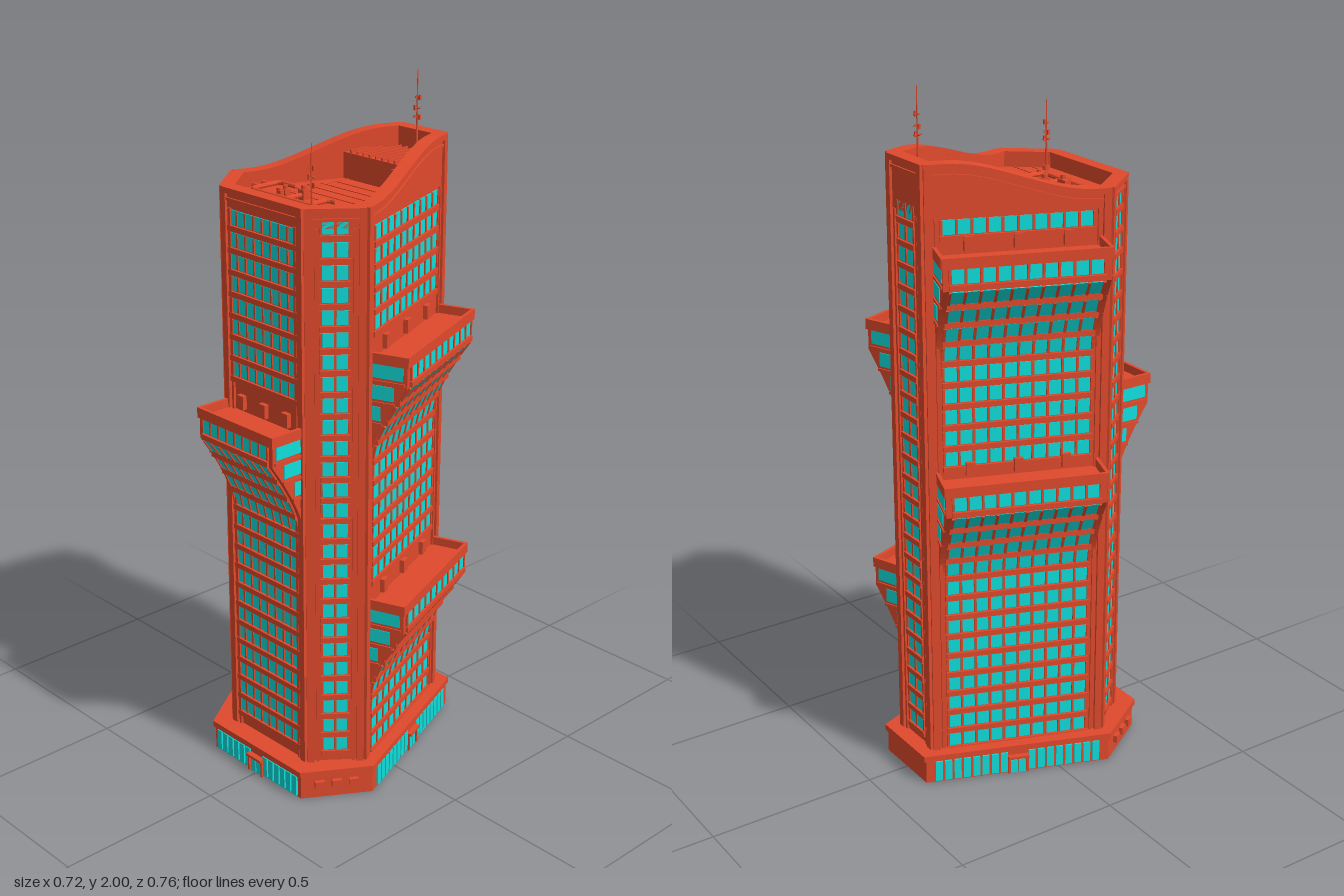
import * as THREE from 'three';
import { mergeGeometries } from 'three/addons/utils/BufferGeometryUtils.js';

const red = new THREE.MeshStandardMaterial({ color: 0xe04a2c, flatShading: true });
const cyan = new THREE.MeshStandardMaterial({ color: 0x10dedc, flatShading: true });

// Plans run front, left chamfer, left side, back, right side, right chamfer
const TOWER = [[-0.16, 0.265], [0.16, 0.265], [0.262, 0.14], [0.085, -0.33], [-0.085, -0.33], [-0.262, 0.14]];
const PODIUM = [[-0.195, 0.325], [0.195, 0.325], [0.31, 0.145], [0.11, -0.378], [-0.11, -0.378], [-0.31, 0.145]];
const PITCH = 0.0615, WIN = 0.04, ROOF = 1.69, LOW = 1.735, HIGH = 1.825, DEPTH = 0.11;

function box(w, h, d, x, y, z, tilt = 0) {
  return new THREE.BoxGeometry(w, h, d).rotateX(tilt).translate(x, y, z);
}

function add(parent, name, geos, material = red) {
  const list = (Array.isArray(geos) ? geos : [geos]).map(g => (g.index ? g.toNonIndexed() : g));
  if (!list.length) return;
  const mesh = new THREE.Mesh(mergeGeometries(list), material);
  mesh.name = name;
  parent.add(mesh);
}

function prism(points, y0, y1, scale = 1) {
  const shape = new THREE.Shape(points.map(([x, z]) => new THREE.Vector2(x * scale, -z * scale)));
  return new THREE.ExtrudeGeometry(shape, { depth: y1 - y0, bevelEnabled: false })
    .rotateX(-Math.PI / 2).translate(0, y0, 0);
}

// Group whose local x runs along one wall of a plan and whose z points outward
function wallFrame(points, i, name) {
  const [px, pz] = points[i], [qx, qz] = points[(i + 1) % 6];
  const g = new THREE.Group();
  g.name = name;
  g.position.set((px + qx) / 2, 0, (pz + qz) / 2);
  g.rotation.y = Math.atan2(pz - qz, qx - px);
  return { g, length: Math.hypot(qx - px, qz - pz) };
}

// How far a projecting bay stands out, at a drop below its top
function bayDepth(drop) {
  if (drop < 0) return 0;
  const t = THREE.MathUtils.clamp((drop - 0.09) / 0.22, 0, 1);
  return DEPTH * Math.pow(1 - t, 1.4);
}

function addBay(g, top, half) {
  const shape = new THREE.Shape();
  shape.moveTo(-0.01, top - 0.025);
  shape.lineTo(-0.01, top - 0.31);
  for (let k = 0; k <= 12; k++) {
    const drop = 0.31 - 0.22 * k / 12;
    shape.lineTo(bayDepth(drop), top - drop);
  }
  shape.lineTo(DEPTH, top - 0.025);
  const solid = new THREE.ExtrudeGeometry(shape, { depth: half * 2, bevelEnabled: false })
    .rotateY(-Math.PI / 2).translate(half, 0, 0);
  // Terrace rim
  const parts = [solid, box(half * 2 + 0.008, 0.03, 0.01, 0, top - 0.015, DEPTH)];
  const glass = [];
  for (const s of [-1, 1]) {
    parts.push(box(0.01, 0.03, DEPTH, s * half, top - 0.015, DEPTH / 2));
    // Windows on the ends of the bay
    for (let drop = 0.05; drop < 0.25; drop += PITCH) {
      const w = bayDepth(drop + WIN / 2) - 0.012;
      if (w > 0.012) {
        glass.push(box(0.004, WIN, w, s * half, top - drop, w / 2));
        parts.push(box(0.008, 0.008, w + 0.01, s * half, top - drop - PITCH / 2, w / 2));
      }
    }
  }
  // Terrace fittings
  for (const x of [-0.6, 0, 0.6]) parts.push(box(0.025, 0.04, 0.014, x * half, top + 0.005, 0.008));
  add(g, 'bay', parts);
  add(g, 'bayEndWindows', glass, cyan);
}

function addWindows(g, half, columns, bays, first) {
  const glass = [], frames = [], starts = [first, ...bays.map(t => t - 0.05)];
  starts.forEach((start, n) => {
    const end = n + 1 < starts.length ? bays[n] + 0.035 : 0.11;
    const offset = y => (n ? bayDepth(bays[n - 1] - y) : 0);
    for (let y = start; y > end; y -= PITCH) {
      const slope = (offset(y - WIN / 2) - offset(y + WIN / 2)) / WIN;
      const tilt = Math.atan(-slope), z = (offset(y - WIN / 2) + offset(y + WIN / 2)) / 2;
      const h = WIN / Math.cos(tilt), step = half * 2 / columns;
      for (let c = 0; c < columns; c++)
        glass.push(box(step * 0.8, h, 0.006, -half + (c + 0.5) * step, y, z, tilt));
      for (let c = 0; c <= columns; c++)
        frames.push(box(step * 0.16, h, 0.012, -half + c * step, y, z, tilt));
      const low = y - PITCH / 2;
      frames.push(box(half * 2 + step * 0.16, 0.016, 0.016, 0, low, offset(low)));
    }
  });
  add(g, 'windows', glass, cyan);
  add(g, 'windowFrames', frames);
}

// Strip of wall between two height rules
function strip(length, upper, lower, z0, z1) {
  const shape = new THREE.Shape(), n = 20;
  const at = k => -length / 2 + length * k / n;
  shape.moveTo(at(0), lower(at(0)));
  for (let k = 1; k <= n; k++) shape.lineTo(at(k), lower(at(k)));
  for (let k = n; k >= 0; k--) shape.lineTo(at(k), upper(at(k)));
  return new THREE.ExtrudeGeometry(shape, { depth: z1 - z0, bevelEnabled: false }).translate(0, 0, z0);
}

function buildTower(root) {
  add(root, 'towerCore', prism(TOWER, 0.08, ROOF));
  const wave = s => LOW + (HIGH - LOW) * THREE.MathUtils.smoothstep(s, -0.21, 0.19);
  const walls = [
    { name: 'frontWall', top: () => LOW, half: 0.135, columns: 8, bays: [1.13], bayHalf: 0.152 },
    { name: 'leftChamfer', top: () => LOW, half: 0.038, columns: 2 },
    { name: 'leftWall', top: wave, half: 0.207, columns: 10, bays: [1.335, 0.6], bayHalf: 0.226 },
    { name: 'backWall', top: () => HIGH, half: 0.04, columns: 2 },
    { name: 'rightWall', top: s => wave(-s), half: 0.207, columns: 10, bays: [1.605, 0.965], bayHalf: 0.226 },
    { name: 'rightChamfer', top: () => LOW, half: 0.038, columns: 2 },
  ];
  walls.forEach((w, i) => {
    const { g, length } = wallFrame(TOWER, i, w.name), bays = w.bays || [];
    addWindows(g, w.half, w.columns, bays, bays.length ? 1.655 : 1.685);
    bays.forEach(top => addBay(g, top, w.bayHalf));
    // Parapet with a raised lip and a second line below it
    add(g, 'parapet', [
      strip(length, w.top, () => ROOF - 0.01, -0.028, 0.003),
      strip(length, w.top, s => w.top(s) - 0.016, -0.03, 0.011),
      strip(length, s => w.top(s) - 0.028, s => w.top(s) - 0.036, 0, 0.008),
    ]);
    // Corner piers and a slimmer rib beside each
    const piers = [];
    for (const s of [-1, 1]) {
      const x = s * (length / 2 - 0.009), h = w.top(x) - 0.08;
      piers.push(box(0.02, h, 0.022, x, 0.08 + h / 2, 0));
      piers.push(box(0.008, 1.6, 0.014, s * (length / 2 - 0.03), 0.88, 0));
    }
    add(g, 'cornerPiers', piers);
    root.add(g);
  });
}

function buildPodium(root) {
  add(root, 'podium', [prism(PODIUM, 0, 0.08, 0.98), prism(PODIUM, 0.072, 0.09)]);
  for (const [i, half, n] of [[0, 0.18, 14], [2, 0.25, 18], [4, 0.25, 18]]) {
    const { g } = wallFrame(PODIUM, i, 'shopFront'), glass = [], door = [];
    const step = half * 2 / n;
    for (let c = 0; c < n; c++) {
      const x = -half + (c + 0.5) * step;
      if (Math.abs(x) > 0.03) glass.push(box(step * 0.75, 0.064, 0.008, x, 0.037, -0.004));
    }
    // Entrance
    for (const s of [-1, 1]) {
      glass.push(box(0.02, 0.042, 0.008, s * 0.012, 0.021, -0.003));
      door.push(box(0.006, 0.055, 0.014, s * 0.028, 0.0275, -0.002));
    }
    door.push(box(0.062, 0.008, 0.022, 0, 0.054, 0));
    add(g, 'shopWindows', glass, cyan);
    add(g, 'entrance', door);
    root.add(g);
  }
  // Vents on the chamfers
  for (const i of [1, 5]) {
    const { g } = wallFrame(PODIUM, i, 'podiumVents');
    add(g, 'vents', [-0.05, 0, 0.05].map(x => box(0.028, 0.022, 0.012, x, 0.045, 0)));
    root.add(g);
  }
}

function antenna(root, x, z, y0, y1) {
  const h = y1 - y0, parts = [];
  parts.push(new THREE.CylinderGeometry(0.0012, 0.004, h, 6).translate(x, y0 + h / 2, z));
  parts.push(new THREE.CylinderGeometry(0.009, 0.011, 0.015, 8).translate(x, y0 + 0.007, z));
  [0.45, 0.55, 0.68].forEach((t, k) => {
    parts.push(box(0.026 - k * 0.005, 0.003, 0.003, x, y0 + h * t, z));
    parts.push(box(0.003, 0.003, 0.026 - k * 0.005, x, y0 + h * t, z));
    parts.push(box(0.006, 0.014, 0.006, x + (k % 2 ? -0.009 : 0.009), y0 + h * t, z));
  });
  add(root, 'antenna', parts);
}

function buildRoof(root) {
  // Roof seams
  const seams = [];
  for (let z = -0.1; z < 0.26; z += 0.0425) {
    const w = z < 0.14 ? 0.16 + 0.36 * (z + 0.25) : 0.46 - 1.5 * (z - 0.14);
    seams.push(box(w * 1.25 - 0.04, 0.004, 0.004, 0, ROOF, z));
  }
  seams.push(box(0.004, 0.004, 0.39, -0.107, ROOF, 0.05));
  add(root, 'roofSeams', seams);
  // Raised rear deck with slats
  const deck = [prism([[-0.125, -0.145], [0.125, -0.145], [0.065, -0.305], [-0.065, -0.305]], ROOF - 0.01, 1.765)];
  for (let k = -4; k <= 4; k++) {
    const len = Math.abs(k) > 2 ? 0.1 : 0.15;
    deck.push(box(0.005, 0.01, len, k * 0.0245, 1.768, -0.147 - len / 2));
  }
  add(root, 'rearDeck', deck);
  // Pipes and fans
  const y = ROOF + 0.013;
  const paths = [
    [[-0.105, 0.05], [-0.165, 0.05], [-0.175, 0.06], [-0.175, 0.145], [-0.165, 0.155], [0.09, 0.155]],
    [[0.09, 0.085], [0.07, 0.085], [0.06, 0.095], [0.06, 0.155]],
    [[-0.03, 0.09], [-0.03, 0.155]], [[-0.205, 0.085], [-0.175, 0.085]], [[-0.205, 0.12], [-0.175, 0.12]],
  ];
  add(root, 'roofPipes', paths.map(p => {
    const path = new THREE.CurvePath();
    const v = p.map(([x, z]) => new THREE.Vector3(x, y, z));
    for (let k = 1; k < v.length; k++) path.add(new THREE.LineCurve3(v[k - 1], v[k]));
    return new THREE.TubeGeometry(path, 48, 0.007, 8);
  }));
  add(root, 'roofUnits', [
    box(0.035, 0.03, 0.02, -0.072, y, 0.127), box(0.022, 0.03, 0.022, -0.03, y, 0.092),
    new THREE.CylinderGeometry(0.008, 0.008, 0.012, 12).translate(-0.03, y + 0.02, 0.092),
    new THREE.CylinderGeometry(0.007, 0.007, 0.012, 12).translate(-0.065, y + 0.02, 0.127),
    box(0.012, 0.03, 0.012, -0.064, y, 0.145),
    box(0.045, 0.02, 0.008, 0.09, 1.74, -0.142),
  ]);
  antenna(root, 0.037, -0.27, 1.765, 2.0);
  antenna(root, 0.13, 0.21, ROOF, 1.89);
}

export function createModel() {
  const root = new THREE.Group();
  root.name = 'officeTower';
  buildPodium(root);
  buildTower(root);
  buildRoof(root);
  return root;
}
